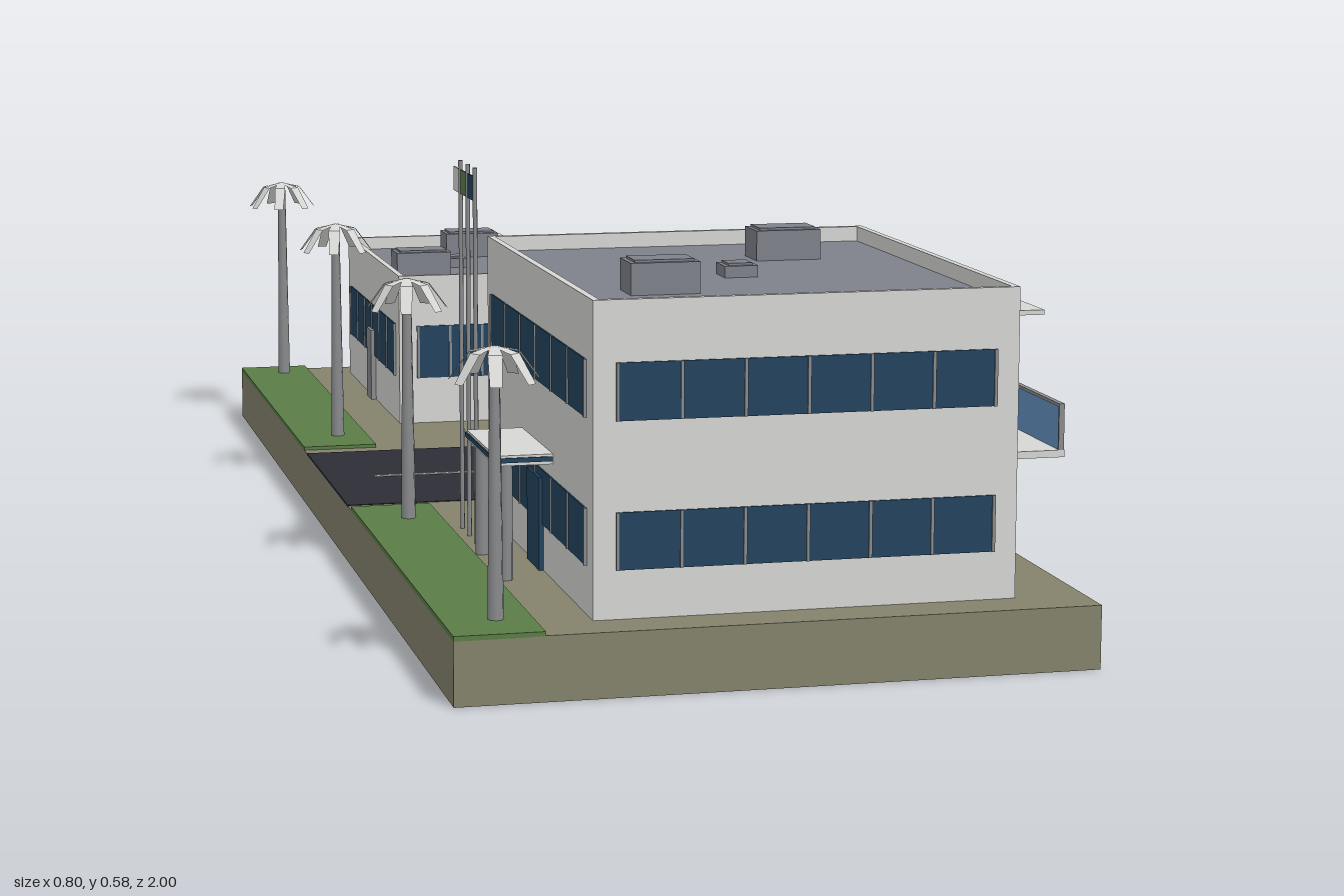
import * as THREE from 'three';

const mat = (name, color, extra = {}) => Object.assign(new THREE.MeshStandardMaterial({ color, ...extra }), { name });

export function createModel() {
  const M = {
    soil: mat('soil', 0x84826c),
    asphalt: mat('asphalt', 0x2d2d37),
    grass: mat('grass', 0x5a7d46),
    wall: mat('wall', 0xd6d6d4, { side: THREE.DoubleSide, flatShading: true }),
    roof: mat('roof grey', 0x7e818a),
    glass: mat('window glass', 0x23435e),
    rail: mat('balcony glass', 0x6391c0),
    metal: mat('metal', 0x8a8b8d),
    paint: mat('white paint', 0xe8e8e4),
  };
  const root = new THREE.Group();

  // box given by its two extreme corners
  const box = (parent, name, m, x0, x1, y0, y1, z0, z1) => {
    const mesh = new THREE.Mesh(new THREE.BoxGeometry(x1 - x0, y1 - y0, z1 - z0), m);
    mesh.position.set((x0 + x1) / 2, (y0 + y1) / 2, (z0 + z1) / 2);
    mesh.name = name;
    parent.add(mesh);
    return mesh;
  };
  const pole = (parent, name, m, x, z, y0, y1, rBottom, rTop = rBottom) => {
    const mesh = new THREE.Mesh(new THREE.CylinderGeometry(rTop, rBottom, y1 - y0, 8), m);
    mesh.position.set(x, (y0 + y1) / 2, z);
    mesh.name = name;
    parent.add(mesh);
  };
  const group = (name, parent = root) => {
    const g = new THREE.Group();
    g.name = name;
    parent.add(g);
    return g;
  };

  // ground, road and markings
  box(root, 'groundSlab', M.soil, -0.4, 0.4, 0, 0.08, -1, 1);
  box(root, 'road', M.asphalt, -0.4, 0.4, 0.078, 0.081, -0.2, 0.2);
  for (const x of [-0.33, -0.03]) box(root, 'roadDash', M.paint, x, x + 0.15, 0.08, 0.082, -0.004, 0.004);
  for (let i = 0; i < 5; i++) {
    const z = -0.935 + i * 0.126;
    box(root, 'parkingLine', M.paint, 0.125, 0.37, 0.079, 0.0815, z - 0.004, z + 0.004);
  }
  for (const [z0, z1] of [[-1, -0.23], [0.23, 1]]) box(root, 'lawn', M.grass, -0.4, -0.29, 0.079, 0.085, z0, z1);

  // row of panes with mullions, centred on the local origin and facing +z
  const windowBand = (width, height, panes) => {
    const g = new THREE.Group();
    g.name = 'windowBand';
    box(g, 'panes', M.glass, -width / 2, width / 2, -height / 2, height / 2, -0.003, 0.002);
    for (let i = 0; i <= panes; i++) {
      const x = -width / 2 + (i * width) / panes;
      box(g, 'mullion', M.metal, x - 0.002, x + 0.002, -height / 2, height / 2, -0.003, 0.004);
    }
    return g;
  };

  // block with recessed roof, parapet, window bands and roof units
  const building = (name, x0, x1, z0, z1, top, bands, panesX, units) => {
    const g = group(name);
    const roofY = top - 0.02, t = 0.009;
    box(g, 'walls', M.wall, x0, x1, 0.08, roofY - 0.002, z0, z1);
    box(g, 'roof', M.roof, x0 + t, x1 - t, roofY - 0.003, roofY, z0 + t, z1 - t);
    box(g, 'parapet', M.wall, x0, x1, roofY - 0.002, top, z0, z0 + t);
    box(g, 'parapet', M.wall, x0, x1, roofY - 0.002, top, z1 - t, z1);
    box(g, 'parapet', M.wall, x0, x0 + t, roofY - 0.002, top, z0 + t, z1 - t);
    box(g, 'parapet', M.wall, x1 - t, x1, roofY - 0.002, top, z0 + t, z1 - t);
    const cx = (x0 + x1) / 2, cz = (z0 + z1) / 2, wx = x1 - x0 - 0.06, wz = z1 - z0 - 0.07;
    for (const [y0, y1] of bands) {
      const sides = [
        [cx, z1, 0, wx, panesX], [cx, z0, Math.PI, wx, panesX],
        [x1, cz, Math.PI / 2, wz, 6], [x0, cz, -Math.PI / 2, wz, 6],
      ];
      for (const [x, z, turn, width, panes] of sides) {
        const w = windowBand(width, y1 - y0, panes);
        w.position.set(x, (y0 + y1) / 2, z);
        w.rotation.y = turn;
        g.add(w);
      }
    }
    units.forEach(([x, z], i) => {
      const w = i === 1 ? 0.022 : 0.044, d = i === 1 ? 0.022 : 0.029, h = i === 1 ? 0.015 : 0.04;
      box(g, 'roofUnit', M.roof, x - w, x + w, roofY, roofY + h, z - d, z + d);
      box(g, 'roofUnitCap', M.roof, x - w + 0.006, x + w - 0.006, roofY + h, roofY + h + 0.003, z - d + 0.006, z + d - 0.006);
    });
    return g;
  };

  const main = building('mainBuilding', -0.22, 0.31, 0.3, 0.94, 0.465,
    [[0.14, 0.21], [0.32, 0.39]], 6, [[0.15, 0.46], [0.043, 0.62], [-0.09, 0.745]]);
  const annex = building('smallBuilding', -0.22, 0.045, -0.94, -0.425, 0.315,
    [[0.152, 0.235]], 4, [[-0.033, -0.815], [-0.088, -0.68], [-0.157, -0.58]]);

  // balcony and sunshade on the right wall
  box(main, 'balconySlab', M.wall, 0.31, 0.39, 0.243, 0.252, 0.35, 0.89);
  box(main, 'balconyGlass', M.rail, 0.383, 0.387, 0.252, 0.306, 0.352, 0.888);
  box(main, 'balconyHandrail', M.metal, 0.382, 0.389, 0.306, 0.31, 0.35, 0.89);
  for (const z of [0.35, 0.887]) box(main, 'balconyPost', M.metal, 0.382, 0.389, 0.252, 0.306, z, z + 0.003);
  box(main, 'sunshade', M.wall, 0.31, 0.36, 0.422, 0.428, 0.35, 0.89);

  // entrance porch and doors on the left walls
  const porch = group('entrancePorch', main);
  box(porch, 'porchRoof', M.wall, -0.293, -0.22, 0.228, 0.241, 0.527, 0.717);
  box(porch, 'porchBand', M.glass, -0.295, -0.221, 0.232, 0.238, 0.525, 0.719);
  for (const z of [0.545, 0.7]) pole(porch, 'porchColumn', M.metal, -0.277, z, 0.08, 0.228, 0.009);
  box(main, 'entranceDoor', M.glass, -0.226, -0.22, 0.08, 0.2, 0.585, 0.66);
  box(annex, 'sideDoor', M.metal, -0.228, -0.22, 0.08, 0.195, -0.702, -0.658);

  // three flags
  const flags = group('flags');
  [[0.482, M.glass], [0.432, M.grass], [0.382, M.wall]].forEach(([z, m]) => {
    pole(flags, 'flagPole', M.metal, -0.272, z, 0.08, 0.577, 0.003);
    box(flags, 'flag', m, -0.273, -0.271, 0.533, 0.565, z - 0.046, z - 0.003);
  });

  // palms with drooping, bent fronds
  const frond = new THREE.PlaneGeometry(0.016, 1, 1, 2).toNonIndexed();
  const p = frond.attributes.position;
  for (let i = 0; i < p.count; i++) {
    const k = Math.round((p.getY(i) + 0.5) * 2);
    p.setXYZ(i, p.getX(i) * [0.6, 1.1, 0.9][k], [0.413, 0.406, 0.372][k], [0, 0.03, 0.055][k]);
  }
  frond.computeVertexNormals();
  [-0.935, -0.32, 0.32, 0.925].forEach((z, n) => {
    const palm = group('palm');
    palm.position.set(-0.335, 0, z);
    pole(palm, 'palmTrunk', M.metal, 0, 0, 0.084, 0.41, 0.01, 0.006);
    for (let i = 0; i < 7; i++) {
      const leaf = new THREE.Mesh(frond, M.wall);
      leaf.name = 'palmFrond';
      leaf.rotation.y = (i / 7) * Math.PI * 2 + Math.PI / 2 + n * 0.02;
      palm.add(leaf);
    }
  });
  return root;
}
